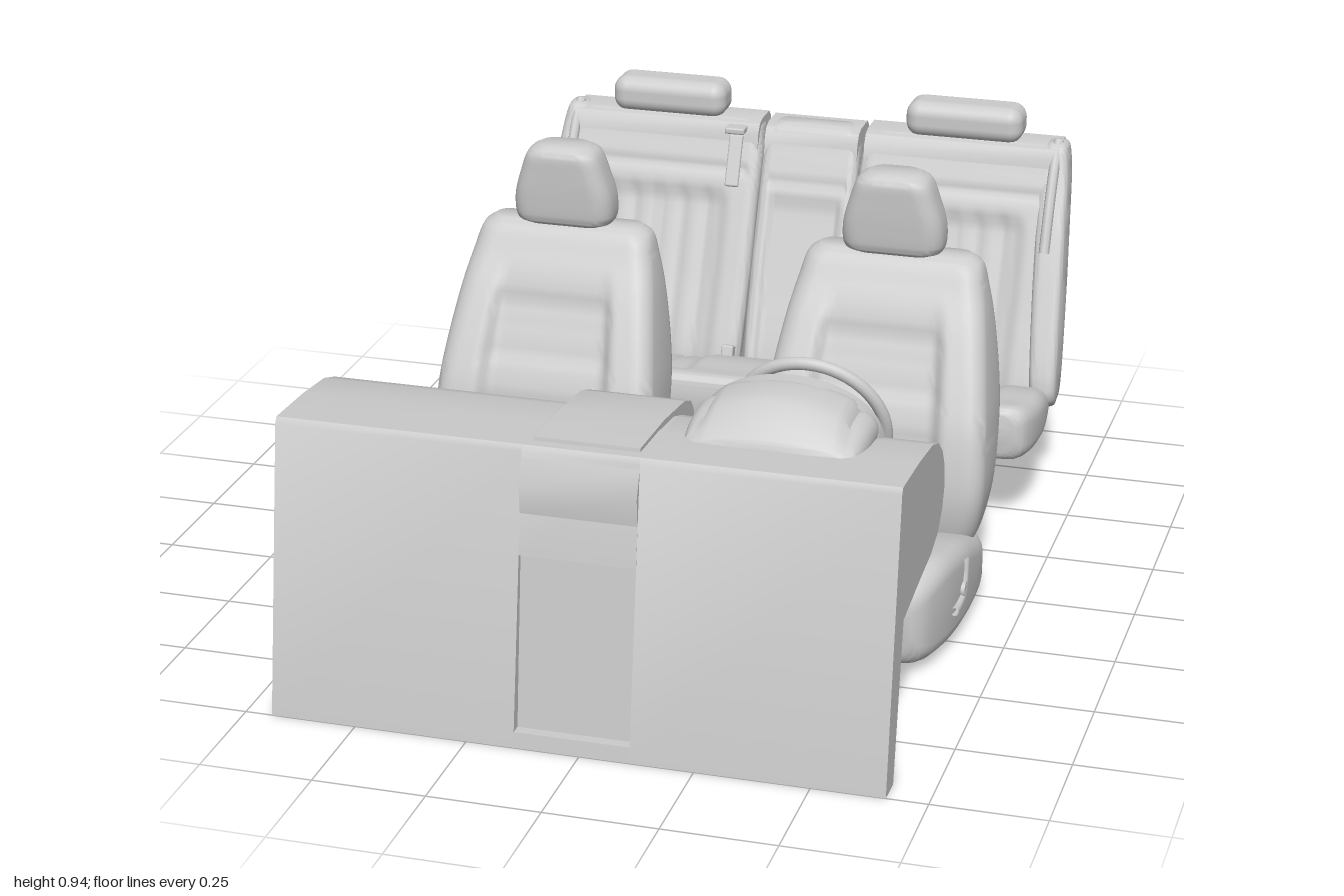
import * as THREE from 'three';
import { toCreasedNormals } from 'three/addons/utils/BufferGeometryUtils.js';
import { RoundedBoxGeometry } from 'three/addons/geometries/RoundedBoxGeometry.js';

const mat = new THREE.MeshStandardMaterial({ color: 0xcccccc, side: THREE.DoubleSide });

function add(parent, name, geo, x = 0, y = 0, z = 0, rx = 0) {
  const m = new THREE.Mesh(geo, mat);
  m.name = name;
  m.position.set(x, y, z);
  m.rotation.x = rx;
  parent.add(m);
  return m;
}
const box = (w, h, d, r = 0.005) => new RoundedBoxGeometry(w, h, d, 2, r);
const tube = (pts, r, n = 16) =>
  new THREE.TubeGeometry(new THREE.CatmullRomCurve3(pts.map(p => new THREE.Vector3(...p))), n, r, 8);

// Side profile of [z, y] points, extruded from x0 to x1
function extrudeX(profile, x0, x1) {
  const shape = new THREE.Shape(profile.map(p => new THREE.Vector2(...p)));
  const g = new THREE.ExtrudeGeometry(shape, { depth: x1 - x0, bevelEnabled: false });
  return toCreasedNormals(g.rotateY(-Math.PI / 2).translate(x1, 0, 0), 0.6);
}

// Upholstery: rounded-rectangle sections [t, low, high, halfWidth] swept along y or z.
// relief(n, t) moves the seating surface, n running -1..1 across the width.
function loft(axis, sections, radius, relief = () => 0, rings = 48, across = 48) {
  const cv = f => new THREE.CatmullRomCurve3(sections.map(f), false, 'catmullrom', 0.5);
  const ab = cv(s => new THREE.Vector3(s[1], s[2], s[3])), tt = cv(s => new THREE.Vector3(s[0], 0, 0));
  const pos = [], idx = [];
  const put = (u, v, t) => (axis === 'y' ? pos.push(u, t, v) : pos.push(u, v, t));
  let n = 0;
  for (let k = 0; k <= rings; k++) {
    const p = ab.getPoint(k / rings), t = tt.getPoint(k / rings).x;
    const mid = (p.x + p.y) / 2, half = (p.y - p.x) / 2, hw = p.z;
    const r = Math.min(radius, half * 0.98, hw * 0.98), loop = [];
    const corner = (su, sv, a0) => {
      for (let i = 0; i <= 5; i++) {
        const a = a0 + (i / 5) * Math.PI / 2;
        loop.push([su * (hw - r) + r * Math.cos(a), mid + sv * (half - r) + r * Math.sin(a)]);
      }
    };
    corner(1, -1, -Math.PI / 2);
    corner(1, 1, 0);
    for (let i = 1; i < across; i++) {
      const u = (hw - r) * (1 - 2 * i / across);
      loop.push([u, mid + half + relief(u / hw, t)]);
    }
    corner(-1, 1, Math.PI / 2);
    corner(-1, -1, Math.PI);
    n = loop.length;
    loop.forEach(q => put(q[0], q[1], t));
  }
  const face = (a, b, c) => (axis === 'y' ? idx.push(a, c, b) : idx.push(a, b, c));
  for (let k = 0; k < rings; k++) for (let i = 0; i < n; i++) {
    const a = k * n + i, b = k * n + (i + 1) % n;
    face(a, b, b + n);
    face(a, b + n, a + n);
  }
  // End caps
  for (const [s, k] of [[sections[0], 0], [sections[sections.length - 1], rings]]) {
    const c = pos.length / 3;
    put(0, (s[1] + s[2]) / 2, s[0]);
    for (let i = 0; i < n; i++) {
      const a = k * n + i, b = k * n + (i + 1) % n;
      k ? face(c, a, b) : face(c, b, a);
    }
  }
  const g = new THREE.BufferGeometry();
  g.setAttribute('position', new THREE.Float32BufferAttribute(pos, 3));
  g.setIndex(idx);
  return toCreasedNormals(g, 0.9);
}
const step = (a, b, v) => THREE.MathUtils.smoothstep(v, a, b);
const groove = (v, at, w) => Math.exp(-(((v - at) / w) ** 2));
const panel = (n, edge) => 1 - step(edge, edge + 0.15, Math.abs(n));
const seams = (v, list, w) => list.reduce((s, a) => s + groove(v, a, w), 0);

function frontSeat(side) {
  const seat = new THREE.Group();
  seat.name = 'frontSeat';
  add(seat, 'seatCushion', loft('z', [
    [-0.09, 0.02, 0.11, 0.21], [-0.08, 0.005, 0.13, 0.24], [0, 0.003, 0.15, 0.262], [0.14, 0.006, 0.2, 0.268],
    [0.25, 0.01, 0.225, 0.265], [0.34, 0.014, 0.236, 0.255], [0.42, 0.02, 0.222, 0.235], [0.455, 0.04, 0.205, 0.212],
    [0.468, 0.1, 0.19, 0.19]],
    0.045, (n, t) => panel(n, 0.5) * (-0.014 * step(0.06, 0.16, t) * (1 - step(0.3, 0.42, t)) - 0.006 * seams(t, [0.13, 0.21, 0.3], 0.012))));
  add(seat, 'seatBack', loft('y', [
    [0.12, -0.085, 0, 0.21], [0.14, -0.095, 0.035, 0.24], [0.25, -0.13, 0.053, 0.264], [0.38, -0.19, 0.032, 0.262],
    [0.48, -0.222, -0.008, 0.252], [0.6, -0.243, -0.07, 0.234], [0.68, -0.25, -0.12, 0.217],
    [0.73, -0.25, -0.15, 0.203], [0.75, -0.235, -0.175, 0.178]],
    0.042, (n, t) => panel(n, 0.5) * (-0.028 * (1 - step(0.52, 0.68, t)) - 0.006 * seams(t, [0.36, 0.47, 0.58], 0.012))));
  add(seat, 'headrest', loft('y', [
    [0.75, -0.235, -0.15, 0.095], [0.765, -0.247, -0.137, 0.115], [0.82, -0.246, -0.13, 0.116],
    [0.88, -0.241, -0.126, 0.1], [0.925, -0.237, -0.126, 0.083], [0.942, -0.22, -0.145, 0.06]], 0.04, undefined, 24, 16));
  for (const s of [-1, 1])
    add(seat, 'headrestPost', new THREE.CylinderGeometry(0.007, 0.007, 0.06, 10), s * 0.05, 0.745, -0.19);
  // Recliner lever on the door side, belt buckle on the console side
  add(seat, 'lever', tube([[0, 0.185, 0.205], [0, 0.14, 0.215], [0, 0.108, 0.235], [0, 0.1, 0.27], [0, 0.1, 0.31]], 0.01), side * 0.266);
  add(seat, 'leverPivot', new THREE.CylinderGeometry(0.018, 0.018, 0.02, 16).rotateZ(Math.PI / 2), side * 0.264, 0.12, 0.23);
  add(seat, 'buckle', box(0.02, 0.12, 0.035), -side * 0.255, 0.21, 0.07, -0.25);
  return seat;
}

function rearSeat() {
  const g = new THREE.Group();
  g.name = 'rearSeat';
  // Bench with two pleated places
  add(g, 'benchCushion', loft('z', [
    [-0.7, 0.185, 0.225, 0.63], [-0.685, 0.167, 0.245, 0.655], [-0.56, 0.167, 0.288, 0.672], [-0.45, 0.173, 0.303, 0.672],
    [-0.39, 0.178, 0.312, 0.66], [-0.368, 0.19, 0.302, 0.64], [-0.362, 0.22, 0.28, 0.62]], 0.04,
    (n, t) => {
      const u = Math.abs(n) * 0.67, front = 1 - step(-0.45, -0.42, t);
      return -front * (0.012 * step(0.17, 0.2, u) * (1 - step(0.53, 0.57, u)) + 0.006 * seams(u, [0.26, 0.32, 0.38, 0.44, 0.5], 0.008));
    }, 40, 120), 0.005);
  // Backrests are thin pads; the frame ribs and top roll stand out behind them
  const back = hw => [
    [0.19, -0.72, -0.69, hw - 0.02], [0.23, -0.718, -0.655, hw - 0.005], [0.44, -0.793, -0.738, hw], [0.62, -0.867, -0.812, hw],
    [0.7, -0.92, -0.847, hw], [0.74, -0.945, -0.865, hw - 0.003], [0.78, -0.96, -0.882, hw - 0.01], [0.793, -0.95, -0.9, hw - 0.03]];
  const top = [[-0.862, 0.715], [-0.87, 0.765], [-0.885, 0.787], [-0.91, 0.795], [-0.975, 0.795], [-0.99, 0.78],
    [-0.995, 0.655], [-0.945, 0.685], [-0.9, 0.67]];
  for (const s of [-1, 1]) {
    const x = 0.01 + s * 0.375;
    add(g, 'rearBackrest', loft('y', back(0.25), 0.025, (n, t) => {
      const low = 1 - step(0.6, 0.64, t);
      return panel(n, 0.6) * -0.014 * low - 0.007 * low * seams(n, [-0.5, -0.25, 0, 0.25, 0.5], 0.05) - 0.006 * groove(t, 0.68, 0.01);
    }), x);
    add(g, 'rearTopRoll', extrudeX(top, x - 0.24, x + 0.24));
    add(g, 'rearHeadrest', new RoundedBoxGeometry(0.29, 0.09, 0.11, 5, 0.035), x, 0.83, -0.94);
    // Side bolster leaning inwards, with the shoulder belt
    const bolster = add(g, 'sideBolster', loft('y', [
      [0.2, -0.73, -0.68, 0.022], [0.25, -0.75, -0.645, 0.032], [0.44, -0.825, -0.718, 0.036], [0.6, -0.89, -0.79, 0.036],
      [0.72, -0.945, -0.855, 0.034], [0.785, -0.965, -0.885, 0.028], [0.8, -0.95, -0.9, 0.018]], 0.02, undefined, 24, 8), 0.008 + s * 0.655);
    bolster.rotation.z = s * 0.06;
    add(g, 'shoulderBelt', tube([[0, 0.8, -0.92], [0, 0.76, -0.878], [0, 0.66, -0.818], [0, 0.56, -0.772]], 0.013), 0.01 + s * 0.61);
    // Rear frame ribs, hinge feet
    for (const d of [-0.225, 0.225]) add(g, 'rearRib', box(0.04, 0.5, 0.05), x + d, 0.43, -0.8, -0.38);
    add(g, 'hingeFoot', box(0.04, 0.1, 0.04), x + s * 0.2, 0.23, -0.725, -0.39);
    add(g, 'rearBuckle', box(0.03, 0.04, 0.03), 0.01 + s * 0.15, 0.265, -0.65, -0.3);
  }
  add(g, 'middleBackrest', loft('y', back(0.122), 0.02,
    (n, t) => -0.012 * panel(n, 0.65) * (1 - step(0.6, 0.64, t)) - 0.006 * groove(t, 0.66, 0.01)), 0.01);
  add(g, 'middleTopRoll', extrudeX(top.map(([z, y]) => [z, y - 0.004]), -0.108, 0.128));
  add(g, 'middleBelt', box(0.035, 0.13, 0.012), -0.18, 0.7, -0.845, -0.39);
  add(g, 'beltGuide', box(0.05, 0.016, 0.07), -0.18, 0.775, -0.88);
  add(g, 'rearLowerBracket', box(0.2, 0.05, 0.04), 0.01, 0.22, -0.73, -0.39);
  return g;
}

function dashboard() {
  const g = new THREE.Group();
  g.name = 'dashboard';
  const bulge = [[0.87, 0.345], [0.72, 0.37], [0.62, 0.383], [0.56, 0.405], [0.52, 0.445], [0.502, 0.495], [0.508, 0.54],
    [0.53, 0.58], [0.57, 0.615], [0.63, 0.635], [0.75, 0.647], [0.9, 0.653], [0.908, 0.64]];
  const full = [[1, 0], [0.935, 0], ...bulge];
  add(g, 'dashRight', extrudeX(full, -0.69, -0.145));
  add(g, 'dashLeft', extrudeX(full, 0.11, 0.66));
  // Middle part with a shallow recessed panel below
  add(g, 'dashMiddle', extrudeX([[0.941, 0.42], [0.86, 0.42], ...bulge.slice(3)], -0.145, 0.11));
  add(g, 'firewallPanel', extrudeX([[1, 0], [0.935, 0], [0.87, 0.42], [0.927, 0.42], [0.97, 0.035], [0.995, 0.035]], -0.145, 0.11));
  add(g, 'firewallLip', extrudeX([[0.91, 0.63], [0.932, 0.57], [0.928, 0.51], [0.9, 0.51]], -0.145, 0.11));
  // Instrument hood with gauges
  add(g, 'instrumentHood', loft('z', [
    [0.6, 0.6, 0.675, 0.188], [0.61, 0.6, 0.685, 0.194], [0.68, 0.6, 0.683, 0.194], [0.74, 0.6, 0.667, 0.19],
    [0.775, 0.6, 0.648, 0.187], [0.785, 0.61, 0.635, 0.18]], 0.04,
    (n, t) => 0.05 * (1 - n * n) * (1 - 0.6 * step(0.69, 0.8, t)), 24, 24), 0.345);
  const arch = new THREE.Shape();
  arch.moveTo(-0.2, 0).bezierCurveTo(-0.17, 0.155, 0.17, 0.155, 0.2, 0);
  const opening = new THREE.Path();
  opening.moveTo(-0.18, 0.005).bezierCurveTo(-0.15, 0.132, 0.15, 0.132, 0.18, 0.005);
  arch.holes.push(opening);
  add(g, 'hoodRim', toCreasedNormals(new THREE.ExtrudeGeometry(arch, { depth: 0.04, bevelEnabled: false, curveSegments: 24 }), 0.6), 0.345, 0.62, 0.575);
  for (const x of [0.255, 0.435]) add(g, 'gaugeRing', new THREE.TorusGeometry(0.038, 0.006, 8, 32), x, 0.655, 0.597);
  // Pedals
  for (const x of [0.25, 0.36, 0.46]) {
    add(g, 'pedalArm', tube([[0, 0.2, 0.9], [0, 0.175, 0.83], [0, 0.13, 0.79]], 0.009), x);
    add(g, 'pedalPad', box(0.05, 0.08, 0.014), x, 0.12, 0.785, 0.3);
  }
  return g;
}

function steeringWheel() {
  const g = new THREE.Group();
  g.name = 'steeringWheel';
  add(g, 'rim', new THREE.TorusGeometry(0.163, 0.014, 12, 56));
  const hub = add(g, 'hub', new THREE.SphereGeometry(0.07, 24, 16), 0, -0.01, 0.015);
  hub.scale.set(1.2, 0.95, 0.4);
  for (const a of [0, Math.PI, -Math.PI / 2 + 0.28, -Math.PI / 2 - 0.28]) {
    const c = Math.cos(a), s = Math.sin(a);
    add(g, 'spoke', tube([[c * 0.04, s * 0.04, 0.015], [c * 0.1, s * 0.1, 0.01], [c * 0.16, s * 0.16, 0]], 0.013));
  }
  add(g, 'column', new THREE.CylinderGeometry(0.032, 0.07, 0.12, 20).rotateX(Math.PI / 2), 0, 0, 0.08);
  for (const s of [-1, 1]) add(g, 'stalk', tube([[s * 0.04, 0, 0.05], [s * 0.09, 0.015, 0.045], [s * 0.135, 0.025, 0.04]], 0.007));
  g.position.set(0.36, 0.585, 0.465);
  g.rotation.x = 0.32;
  return g;
}

function centreConsole() {
  const g = new THREE.Group(), cx = -0.015;
  g.name = 'centreConsole';
  add(g, 'tunnel', extrudeX([[0.915, 0.02], [-0.64, 0.02], [-0.64, 0.165], [-0.235, 0.17], [0.08, 0.2], [0.3, 0.222], [0.38, 0.27],
    [0.41, 0.34], [0.435, 0.43], [0.48, 0.595], [0.5, 0.62], [0.55, 0.638], [0.7, 0.655], [0.87, 0.66], [0.905, 0.42]], -0.13, 0.1));
  add(g, 'armrestBox', extrudeX([[-0.235, 0.16], [-0.235, 0.205], [-0.2, 0.27], [-0.18, 0.277], [0.03, 0.272], [0.06, 0.255], [0.07, 0.18]], -0.12, 0.09));
  for (const s of [-1, 1])
    add(g, 'cupHolder', new THREE.TorusGeometry(0.034, 0.004, 8, 32).rotateX(Math.PI / 2), cx + s * 0.042, 0.274, -0.08);
  add(g, 'armrestHinge', box(0.19, 0.02, 0.03), cx, 0.265, -0.2);
  // Gear lever
  add(g, 'gearSurround', new THREE.TorusGeometry(0.085, 0.009, 10, 40).rotateX(Math.PI / 2), cx, 0.215, 0.19);
  add(g, 'gearLever', new THREE.LatheGeometry([[0.05, 0.2], [0.042, 0.235], [0.034, 0.265], [0.022, 0.3], [0.024, 0.31], [0.032, 0.328],
    [0.032, 0.348], [0.024, 0.365], [0, 0.372]].map(p => new THREE.Vector2(...p)), 28), cx, 0, 0.19);
  // Switches and centre display
  for (const i of [-1, 0, 1]) add(g, 'dial', new THREE.CylinderGeometry(i ? 0.014 : 0.022, 0.022, 0.02, 20), cx + i * 0.052, 0.24, 0.335, -0.45);
  for (let i = 0; i < 4; i++) add(g, 'switch', box(0.036, 0.03, 0.014), cx + (i - 1.5) * 0.046, 0.4, 0.428, 0.26);
  add(g, 'display', box(0.19, 0.11, 0.014), cx, 0.515, 0.457, 0.26);
  return g;
}

export function createModel() {
  const model = new THREE.Group();
  model.name = 'carInterior';
  const right = frontSeat(-1), left = frontSeat(1);
  right.position.set(-0.397, 0, 0.012);
  left.position.set(0.382, 0, -0.005);
  model.add(right, left, rearSeat(), dashboard(), steeringWheel(), centreConsole());
  return model;
}
